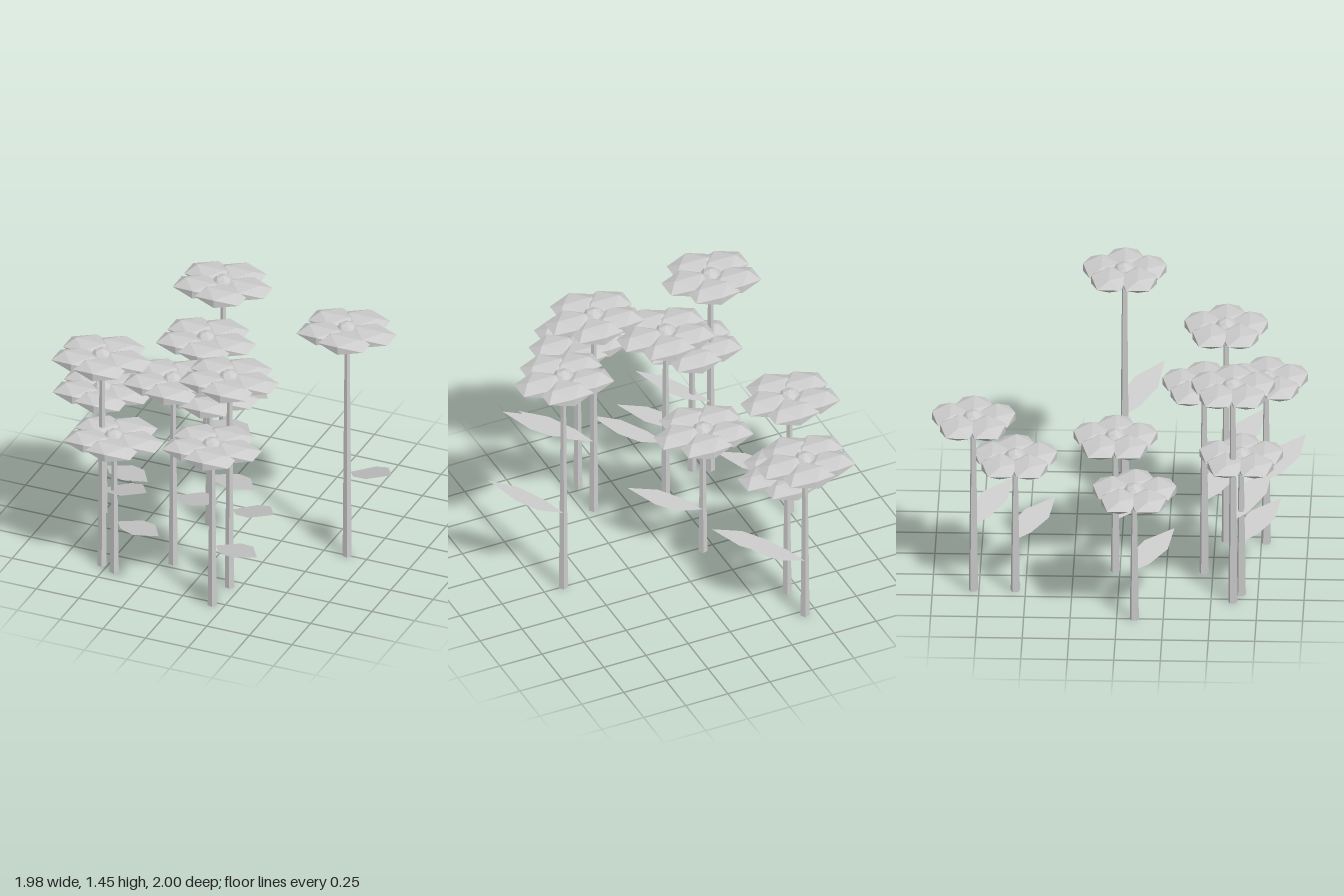
import * as THREE from 'three';

const material = new THREE.MeshStandardMaterial({ color: 0xcccccc, flatShading: true });
const leafMaterial = new THREE.MeshStandardMaterial({
  color: 0xcccccc, flatShading: true, side: THREE.DoubleSide,
});

// Each flower: x, z, height of the petals
const FLOWERS = [
  [-0.43, -0.78, 1.026],
  [-0.43, -0.555, 0.797],
  [-0.18, -0.025, 0.797],
  [0.637, 0.0, 1.394],
  [-0.752, 0.095, 0.76],
  [-0.185, 0.453, 1.13],
  [-0.53, 0.618, 1.287],
  [0.192, 0.56, 1.287],
  [0.185, 0.775, 0.98],
  [-0.44, 0.66, 0.828],
];
const PETALS = 5;
const PETAL_RING = 0.131;

// Flat six-cornered leaf, tilted upwards away from the stem (unit stem height)
function leafGeometry() {
  const outline = [
    [0.01, -0.02], [0.16, -0.02], [0.26, 0.045],
    [0.35, 0.205], [0.185, 0.175], [0.07, 0.08],
  ].map(([x, z]) => new THREE.Vector2(x, -z));
  const geometry = new THREE.ShapeGeometry(new THREE.Shape(outline));
  geometry.rotateX(-Math.PI / 2);
  const p = geometry.attributes.position;
  for (let i = 0; i < p.count; i++) {
    p.setY(i, 0.3655 + 0.324 * (p.getX(i) - 0.01) + 0.072 * (p.getZ(i) + 0.02));
  }
  geometry.computeVertexNormals();
  return geometry;
}

export function createModel() {
  const model = new THREE.Group();
  model.name = 'flowers';

  // Shared geometries
  const stemGeometry = new THREE.CylinderGeometry(0.014, 0.026, 1, 5)
    .rotateY(Math.PI / 2).translate(0, 0.5, 0);
  const leafGeo = leafGeometry();
  const petalGeometry = new THREE.IcosahedronGeometry(1, 0).scale(0.155, 0.043, 0.1175);
  const centreGeometry = new THREE.IcosahedronGeometry(0.071, 1);

  const add = (parent, name, geometry, mat = material) => {
    const mesh = new THREE.Mesh(geometry, mat);
    mesh.name = name;
    parent.add(mesh);
    return mesh;
  };

  for (const [x, z, height] of FLOWERS) {
    const flower = new THREE.Group();
    flower.name = 'flower';
    flower.position.set(x, 0, z);
    model.add(flower);

    // Stem and leaf stretch with the height of the plant
    add(flower, 'stem', stemGeometry).scale.y = height;
    add(flower, 'leaf', leafGeo, leafMaterial).scale.y = height;

    // Head: round centre with a ring of equally oriented petals
    const head = new THREE.Group();
    head.name = 'flowerHead';
    head.position.y = height;
    flower.add(head);
    add(head, 'flowerCentre', centreGeometry).position.y = -0.018;
    for (let i = 0; i < PETALS; i++) {
      const a = (i / PETALS) * Math.PI * 2;
      add(head, 'petal', petalGeometry)
        .position.set(PETAL_RING * Math.cos(a), 0, PETAL_RING * Math.sin(a));
    }
  }
  return model;
}
